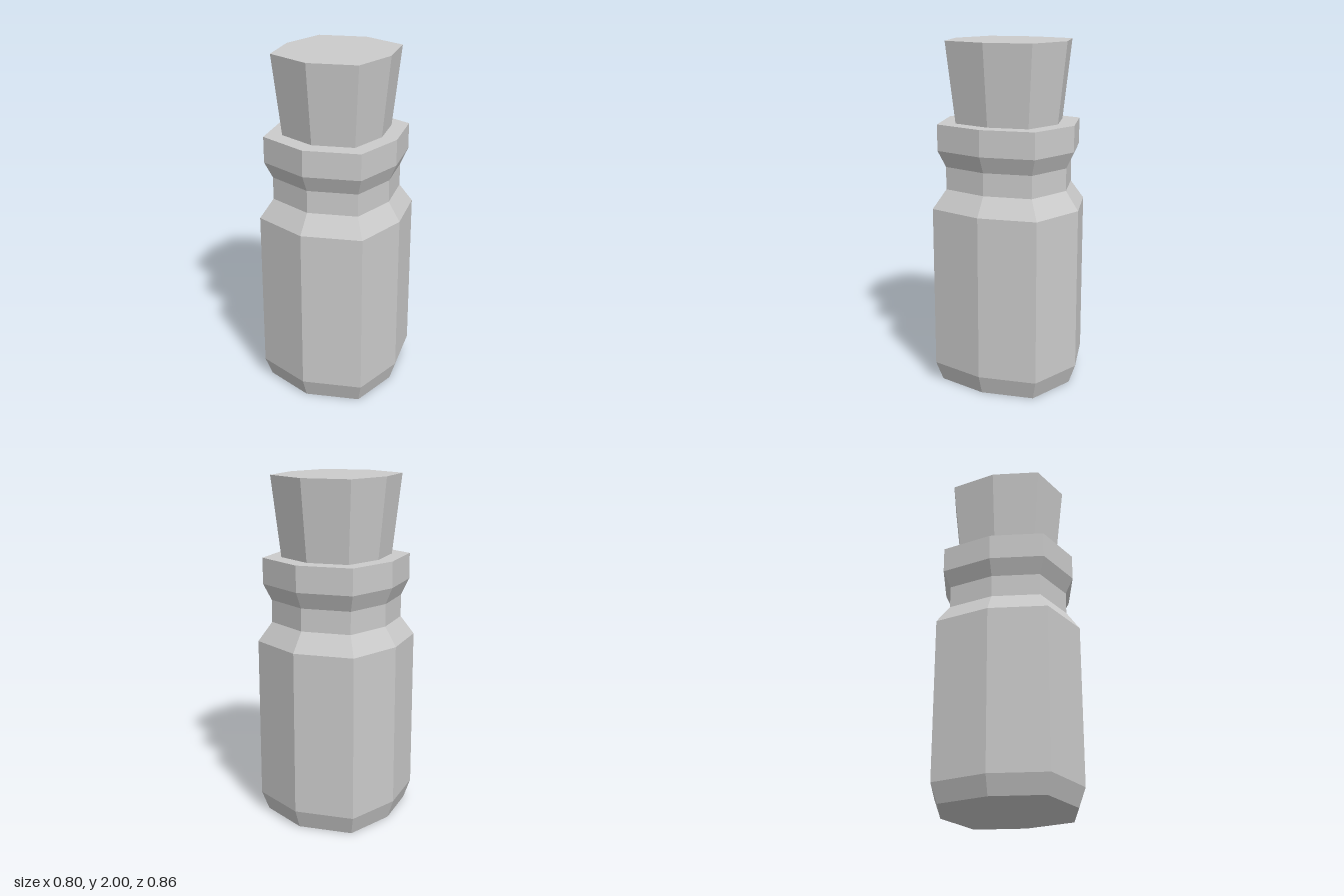
import * as THREE from 'three';

const material = new THREE.MeshStandardMaterial({ color: 0xcccccc, flatShading: true });

// Eight-sided turned part. Profile points are [half-width at the diagonal corners, height];
// the corners on the x and z axes are pushed out to give the slightly oval octagon.
function octagonalPart(name, profile) {
  const points = profile.map(([r, y]) => new THREE.Vector2(r, y));
  const geometry = new THREE.LatheGeometry(points, 8);
  const pos = geometry.attributes.position;
  for (let i = 0; i < pos.count; i++) {
    const r = Math.hypot(pos.getX(i), pos.getZ(i));
    const sx = Math.round(pos.getX(i) / (r || 1));
    const sz = Math.round(pos.getZ(i) / (r || 1));
    const diagonal = sx !== 0 && sz !== 0;
    pos.setX(i, sx * r * (diagonal ? 1 : 1.212));
    pos.setZ(i, sz * r * (diagonal ? 1 : 1.318));
  }
  geometry.computeVertexNormals();
  const mesh = new THREE.Mesh(geometry, material);
  mesh.name = name;
  return mesh;
}

export function createModel() {
  const group = new THREE.Group();
  group.name = 'corkedBottle';

  // Bottle: bevelled base, straight body, shoulder, neck and lip
  group.add(octagonalPart('bottle', [
    [0, 0], [0.298, 0], [0.328, 0.11], [0.328, 1.055],
    [0.27, 1.165], [0.27, 1.295], [0.304, 1.39], [0.304, 1.54], [0, 1.54],
  ]));

  // Tapered stopper, wider at the top
  group.add(octagonalPart('stopper', [[0.228, 1.54], [0.267, 2], [0, 2]]));

  return group;
}
